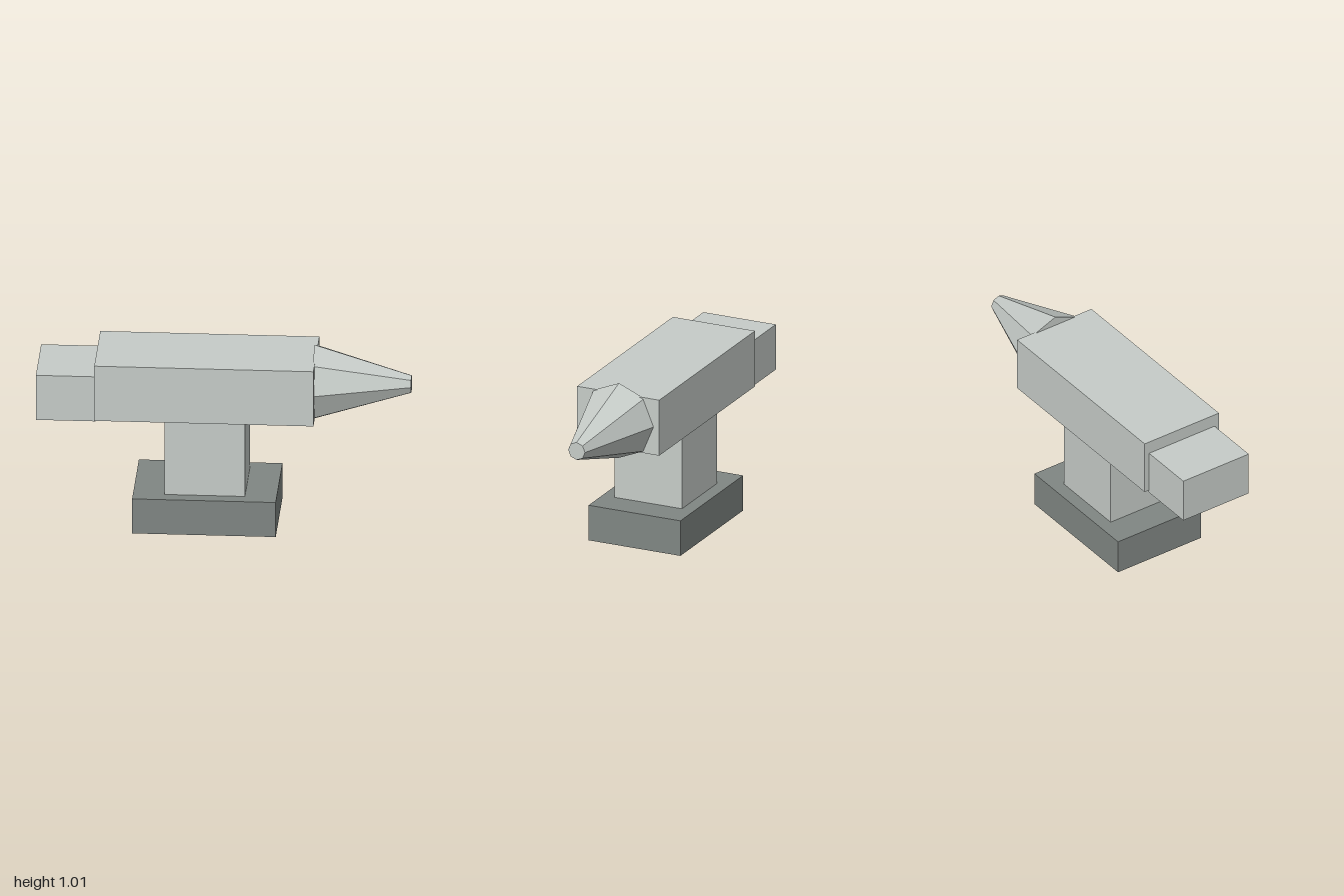
import * as THREE from 'three';

const steel = new THREE.MeshStandardMaterial({ color: 0xc6ccc8, flatShading: true });
const darkSteel = new THREE.MeshStandardMaterial({ color: 0x808683, flatShading: true });

// Box given by its x range, y range and full depth, centred on z = 0
function block(name, [x0, x1], [y0, y1], depth, material) {
  const mesh = new THREE.Mesh(new THREE.BoxGeometry(x1 - x0, y1 - y0, depth), material);
  mesh.position.set((x0 + x1) / 2, (y0 + y1) / 2, 0);
  mesh.name = name;
  return mesh;
}

export function createModel() {
  const anvil = new THREE.Group();
  anvil.name = 'anvil';

  anvil.add(
    block('base', [-0.48, 0.29], [0, 0.2], 0.546, darkSteel),
    block('waist', [-0.31, 0.12], [0.2, 0.635], 0.4, steel),
    block('body', [-0.685, 0.49], [0.635, 0.952], 0.488, steel),
    block('heel', [-1, -0.68], [0.62, 0.878], 0.43, steel)
  );

  // Eight-sided horn tapering towards +x
  const horn = new THREE.Mesh(new THREE.CylinderGeometry(0.05, 0.213, 0.52, 8), steel);
  horn.rotation.z = -Math.PI / 2;
  horn.position.set(0.74, 0.793, 0);
  horn.name = 'horn';
  anvil.add(horn);

  return anvil;
}
